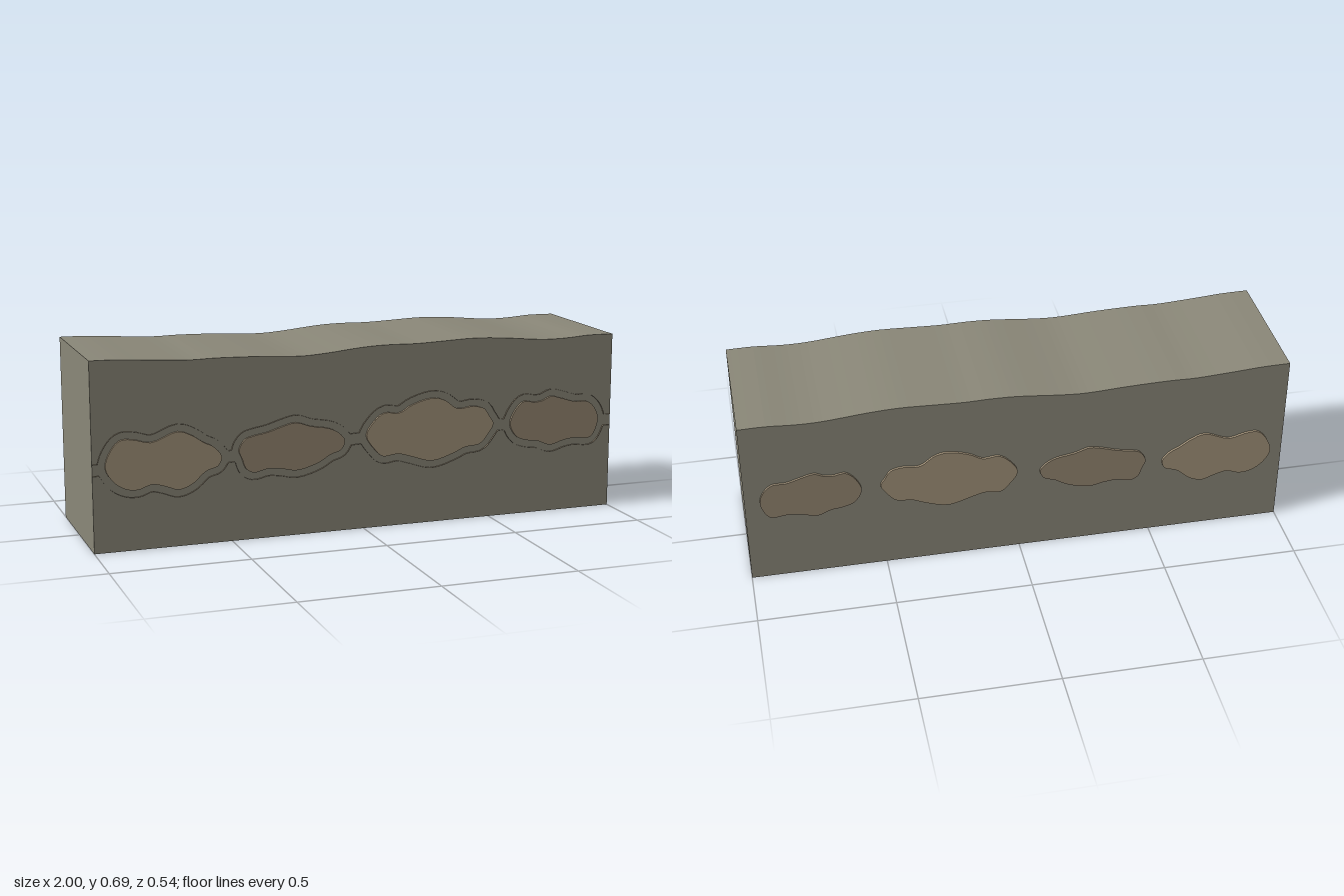
import * as THREE from 'three';

const HALF_Z = 0.26;
const mat = (color) => new THREE.MeshStandardMaterial({ color, side: THREE.DoubleSide });

const pairs = (a) => {
  const out = [];
  for (let i = 0; i < a.length; i += 2) out.push(new THREE.Vector2(a[i], a[i + 1]));
  return out;
};

// Outlines run clockwise from the leftmost point, in hundredths of a unit
const closedOutline = (a) => new THREE.CatmullRomCurve3(
  pairs(a).map((p) => new THREE.Vector3(p.x / 100, p.y / 100, 0)), true, 'centripetal'
).getPoints(72).slice(0, -1).map((p) => new THREE.Vector2(p.x, p.y));

const stoneA = closedOutline([
  -95.5, 30.5, -93.5, 36.5, -90, 40, -85.5, 40, -79, 38.5, -69.5, 41.7, -64.5, 40, -60, 37, -56.5, 35.2,
  -53.7, 31.5, -55, 28.3, -59.5, 26.7, -64.5, 22.5, -69.5, 20.8, -74, 22.3, -79, 23.5, -84, 22, -88, 22.4, -92.3, 25]);
const stoneB = closedOutline([
  -47.3, 33.2, -45, 37, -42, 38, -36.6, 39, -31.3, 40.6, -26, 41.7, -20.6, 40, -13, 38.5, -9.4, 36.4,
  -7.5, 33.7, -9, 30.5, -13, 29, -18, 26.2, -26, 24.2, -31.3, 25.2, -36.6, 25.7, -42, 24.7, -44.7, 26.2, -46.2, 30]);
const stoneC = closedOutline([
  0.8, 34.8, 3.5, 39.6, 7.8, 42.8, 13.6, 42.4, 18.5, 45, 26.5, 47, 31.3, 46, 36.6, 42.4, 42.5, 42.8, 47.3, 41.7,
  49.5, 38.5, 51.1, 35.8, 49, 32, 45.7, 28.5, 39.8, 27.7, 35, 25.7, 26.5, 23.5, 18.5, 25.7, 13, 27.2, 7.2, 26.7, 4, 29.5]);
const stoneD = closedOutline([
  58, 34.8, 59.7, 39.6, 63.4, 43.2, 67.6, 42.7, 70.8, 42.9, 74.6, 44.4, 79.4, 43.3, 84.8, 41.7, 89.6, 41.6, 92.8, 39,
  94.5, 34.8, 93.3, 30, 91, 27.4, 84.8, 27.8, 80, 27.2, 74.6, 25.8, 69.3, 27.7, 65, 28.3, 60.7, 30]);

// Centre height of the channel that links the stones
const channel = pairs([-1, 0.3, -0.5, 0.312, -0.03, 0.34, 0.54, 0.35, 1, 0.337]);
function channelY(x) {
  for (let i = 1; i < channel.length; i++) {
    const a = channel[i - 1], b = channel[i];
    if (x <= b.x) return a.y + (b.y - a.y) * (x - a.x) / (b.x - a.x);
  }
  return channel[channel.length - 1].y;
}

// Push an outline outward along its normals
function grow(points, d) {
  const n = points.length;
  return points.map((p, i) => {
    const t = points[(i + 1) % n].clone().sub(points[(i + n - 1) % n]).normalize();
    return new THREE.Vector2(p.x - t.y * d, p.y + t.x * d);
  });
}

// One thin lip: follows one side of every stone and the channel between them
function lipPath(outlines, sign) {
  const path = [new THREE.Vector2(-1, channelY(-1) + sign * 0.021)];
  for (const outline of outlines) {
    const g = grow(outline, 0.027);
    let right = 0;
    g.forEach((p, i) => { if (p.x > g[right].x) right = i; });
    const side = sign > 0 ? g.slice(0, right + 1) : [g[0], ...g.slice(right).reverse()];
    for (const p of side) {
      const limit = channelY(p.x) + sign * 0.021;
      const y = sign > 0 ? Math.max(p.y, limit) : Math.min(p.y, limit);
      if (p.x >= path[path.length - 1].x - 0.02) path.push(new THREE.Vector2(p.x, y));
    }
  }
  path.push(new THREE.Vector2(1, channelY(1) + sign * 0.021));
  return path;
}

function ribbon(path, z0, z1) {
  const geo = new THREE.PlaneGeometry(1, 1, path.length - 1, 1);
  const pos = geo.attributes.position;
  for (let i = 0; i < pos.count; i++) {
    const p = path[i % path.length];
    pos.setXYZ(i, p.x, p.y, i < path.length ? z1 : z0);
  }
  geo.computeVertexNormals();
  return geo;
}

export function createModel() {
  const model = new THREE.Group();
  const add = (name, geo, material, z = 0) => {
    const mesh = new THREE.Mesh(geo, material);
    mesh.name = name;
    mesh.position.z = z;
    model.add(mesh);
  };

  // Wall block with a gently uneven top
  const top = new THREE.SplineCurve(pairs([
    -1, 0.685, -0.9, 0.683, -0.8, 0.676, -0.65, 0.667, -0.55, 0.668, -0.4, 0.664, -0.25, 0.656, -0.15, 0.66,
    0, 0.674, 0.1, 0.677, 0.2, 0.675, 0.3, 0.678, 0.43, 0.682, 0.55, 0.676, 0.7, 0.662, 0.8, 0.661, 0.9, 0.667, 1, 0.666,
  ])).getPoints(68);
  const profile = new THREE.Shape([new THREE.Vector2(1, 0), ...top.reverse(), new THREE.Vector2(-1, 0)]);
  add('wall', new THREE.ExtrudeGeometry(profile, { depth: HALF_Z * 2, bevelEnabled: false }), mat(0x8a8778), -HALF_Z);

  // Flat inset stones on both faces
  const light = mat(0xa3937a), dark = mat(0x958771);
  const outlines = [stoneA, stoneB, stoneC, stoneD];
  outlines.forEach((outline, i) => {
    const geo = new THREE.ExtrudeGeometry(new THREE.Shape(outline), { depth: 0.018, bevelEnabled: false });
    const material = i % 2 ? dark : light;
    add('frontStone' + (i + 1), geo, material, 0.251);
    add('backStone' + (i + 1), geo, material, -0.269);
  });

  // Thin lips above and below the front stones
  const lip = mat(0x8a7d68);
  add('upperLip', ribbon(lipPath(outlines, 1), HALF_Z, 0.267), lip);
  add('lowerLip', ribbon(lipPath(outlines, -1), HALF_Z, 0.267), lip);
  return model;
}
